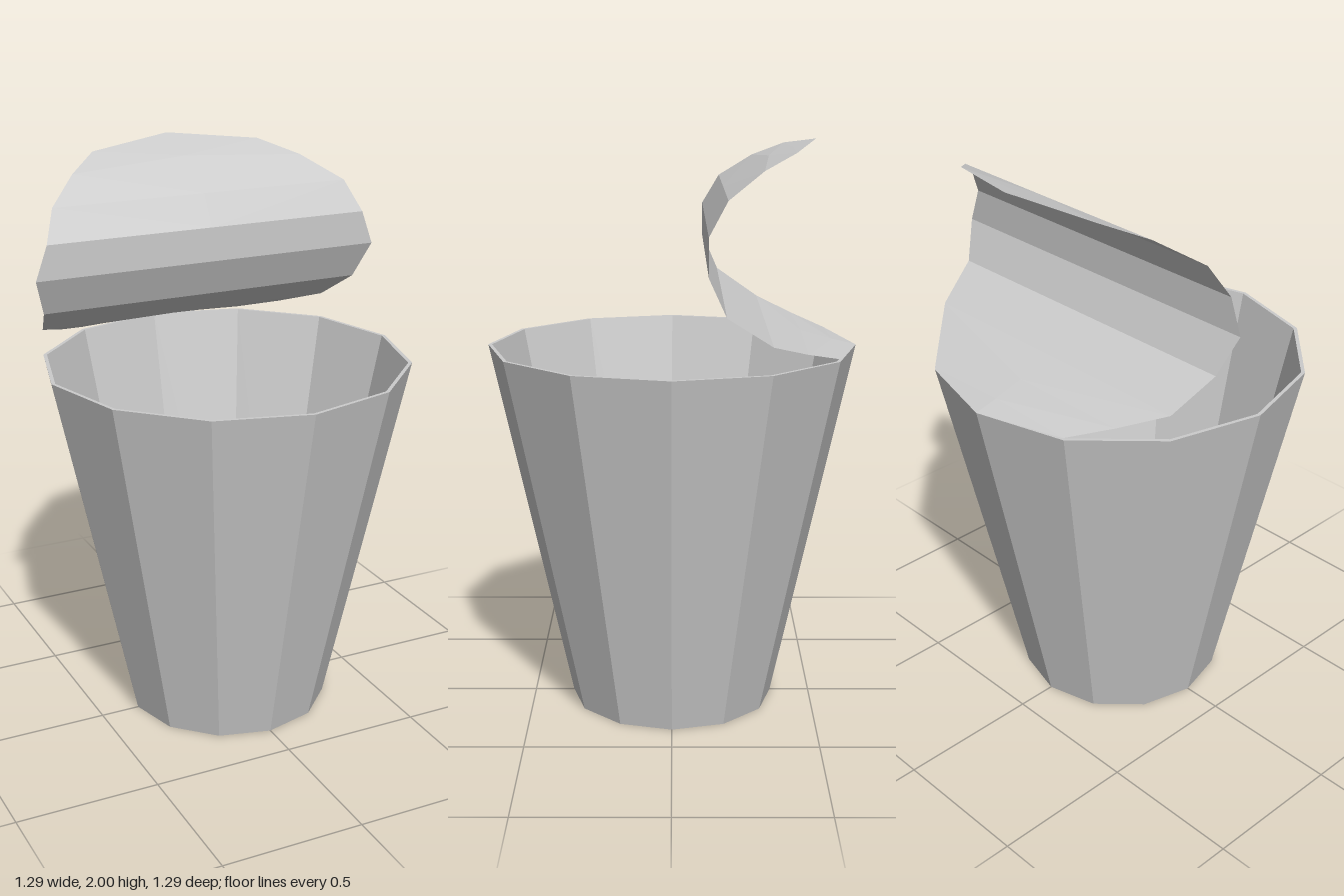
import * as THREE from 'three';

const SIDES = 12;

function material(side = THREE.FrontSide) {
  return new THREE.MeshStandardMaterial({ color: 0xcccccc, flatShading: true, side });
}

// Tapered, thin-walled tub: outside, rim, inside and floor in one profile
function makeTub() {
  const profile = [[0, 0], [0.36, 0], [0.643, 1.29], [0.63, 1.29], [0.35, 0.01], [0, 0.01]]
    .map(([r, y]) => new THREE.Vector2(r, y));
  const tub = new THREE.Mesh(new THREE.LatheGeometry(profile, SIDES), material());
  tub.name = 'tub';
  return tub;
}

// Peeled foil lid: a twelve-sided disc curled forward from the back of the rim
function makeLid() {
  // Each row: half width, edge y, edge z, middle y, middle z
  const rows = [
    [0, 1.29, -0.643, 1.29, -0.643],
    [0.32, 1.298, -0.558, 1.31, -0.56],
    [0.437, 1.335, -0.442, 1.34, -0.45],
    [0.555, 1.38, -0.322, 1.38, -0.322],
    [0.6, 1.48, -0.172, 1.48, -0.172],
    [0.643, 1.61, -0.114, 1.61, -0.114],
    [0.6, 1.73, -0.114, 1.73, -0.114],
    [0.555, 1.838, -0.175, 1.838, -0.175],
    [0.437, 1.92, -0.292, 1.943, -0.33],
    [0.32, 1.97, -0.402, 1.973, -0.412],
    [0, 2.0, -0.49, 2.0, -0.49],
  ];
  const positions = [];
  const indices = [];
  rows.forEach(([w, y, z, my, mz], i) => {
    positions.push(-w, y, z, 0, my, mz, w, y, z);
    if (i === 0) return;
    for (let k = 0; k < 2; k++) {
      const a = (i - 1) * 3 + k, b = a + 1, d = a + 3, c = d + 1;
      // Mirror the diagonal so both halves match
      if (k === 0) indices.push(a, b, d, b, c, d);
      else indices.push(a, b, c, a, c, d);
    }
  });
  const geometry = new THREE.BufferGeometry();
  geometry.setAttribute('position', new THREE.Float32BufferAttribute(positions, 3));
  geometry.setIndex(indices);
  geometry.computeVertexNormals();
  const lid = new THREE.Mesh(geometry, material(THREE.DoubleSide));
  lid.name = 'peeledLid';
  return lid;
}

export function createModel() {
  const group = new THREE.Group();
  group.name = 'openTub';
  group.add(makeTub(), makeLid());
  return group;
}
